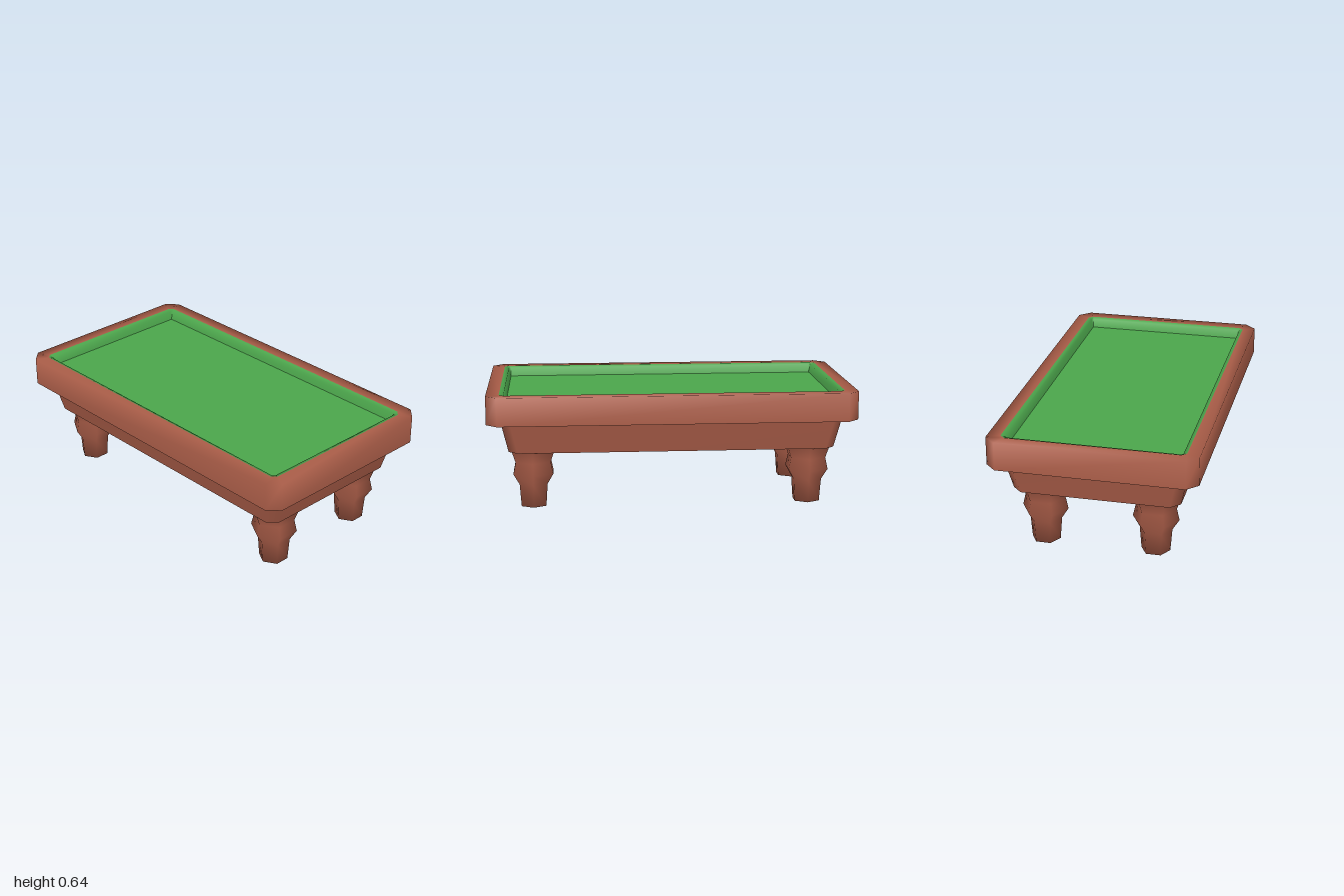
import * as THREE from 'three';

// Loop of a rectangle with cut corners: half sizes hx, hz and corner cut c
function corners(hx, hz, c) {
  return [
    [hx, -hz + c], [hx, hz - c], [hx - c, hz], [-hx + c, hz],
    [-hx, hz - c], [-hx, -hz + c], [-hx + c, -hz], [hx - c, -hz],
  ];
}

// Smooth skin through stacked loops, each given as [hx, hz, cut, y]
function skin(loops) {
  const pos = [], index = [];
  for (const [hx, hz, c, y] of loops) {
    for (const [x, z] of corners(hx, hz, c)) pos.push(x, y, z);
  }
  for (let j = 0; j < loops.length - 1; j++) {
    for (let i = 0; i < 8; i++) {
      const a = j * 8 + i, b = j * 8 + (i + 1) % 8;
      index.push(a, a + 8, b, b, a + 8, b + 8);
    }
  }
  const geo = new THREE.BufferGeometry();
  geo.setAttribute('position', new THREE.Float32BufferAttribute(pos, 3));
  geo.setIndex(index);
  geo.computeVertexNormals();
  return geo;
}

export function createModel() {
  const group = new THREE.Group();
  const wood = new THREE.MeshStandardMaterial({ color: 0xaa5d48, side: THREE.DoubleSide });
  wood.name = 'red brown wood';
  const felt = new THREE.MeshStandardMaterial({ color: 0x4ca64c, side: THREE.DoubleSide });
  felt.name = 'green felt';

  const add = (name, geo, mat) => {
    const mesh = new THREE.Mesh(geo, mat);
    mesh.name = name;
    group.add(mesh);
    return mesh;
  };

  // Outer rail, hollow underneath
  add('rail', skin([
    [0.557, 1, 0.06, 0.49],
    [0.557, 1, 0.06, 0.645],
    [0.487, 0.93, 0.025, 0.645],
  ]), wood);

  // Felt cushion sloping down to the bed
  add('cushion', skin([
    [0.487, 0.93, 0.025, 0.645],
    [0.466, 0.906, 0.01, 0.637],
    [0.455, 0.895, 0.002, 0.59],
  ]), felt);

  // Flat playing bed
  add('bed', skin([
    [0.455, 0.895, 0.002, 0.59],
    [0, 0.44, 0, 0.59],
  ]), felt);

  // Tapered apron and its flat underside
  add('apron', skin([
    [0.447, 0.887, 0.05, 0.32],
    [0.485, 0.925, 0.05, 0.49],
  ]), wood);
  add('apronUnderside', skin([
    [0, 0.44, 0, 0.32],
    [0.447, 0.887, 0.05, 0.32],
  ]), wood);

  // Four six-sided turned legs
  const profile = [
    [0, 0], [0.078, 0], [0.088, 0.125], [0.125, 0.185], [0.11, 0.25], [0.135, 0.32],
  ].map(([r, y]) => new THREE.Vector2(r, y));
  const legGeo = new THREE.LatheGeometry(profile, 6, Math.PI / 2);
  for (const x of [-1, 1]) {
    for (const z of [-1, 1]) {
      const name = (z > 0 ? 'front' : 'back') + (x > 0 ? 'Left' : 'Right') + 'Leg';
      add(name, legGeo, wood).position.set(x * 0.3, 0, z * 0.757);
    }
  }
  return group;
}
